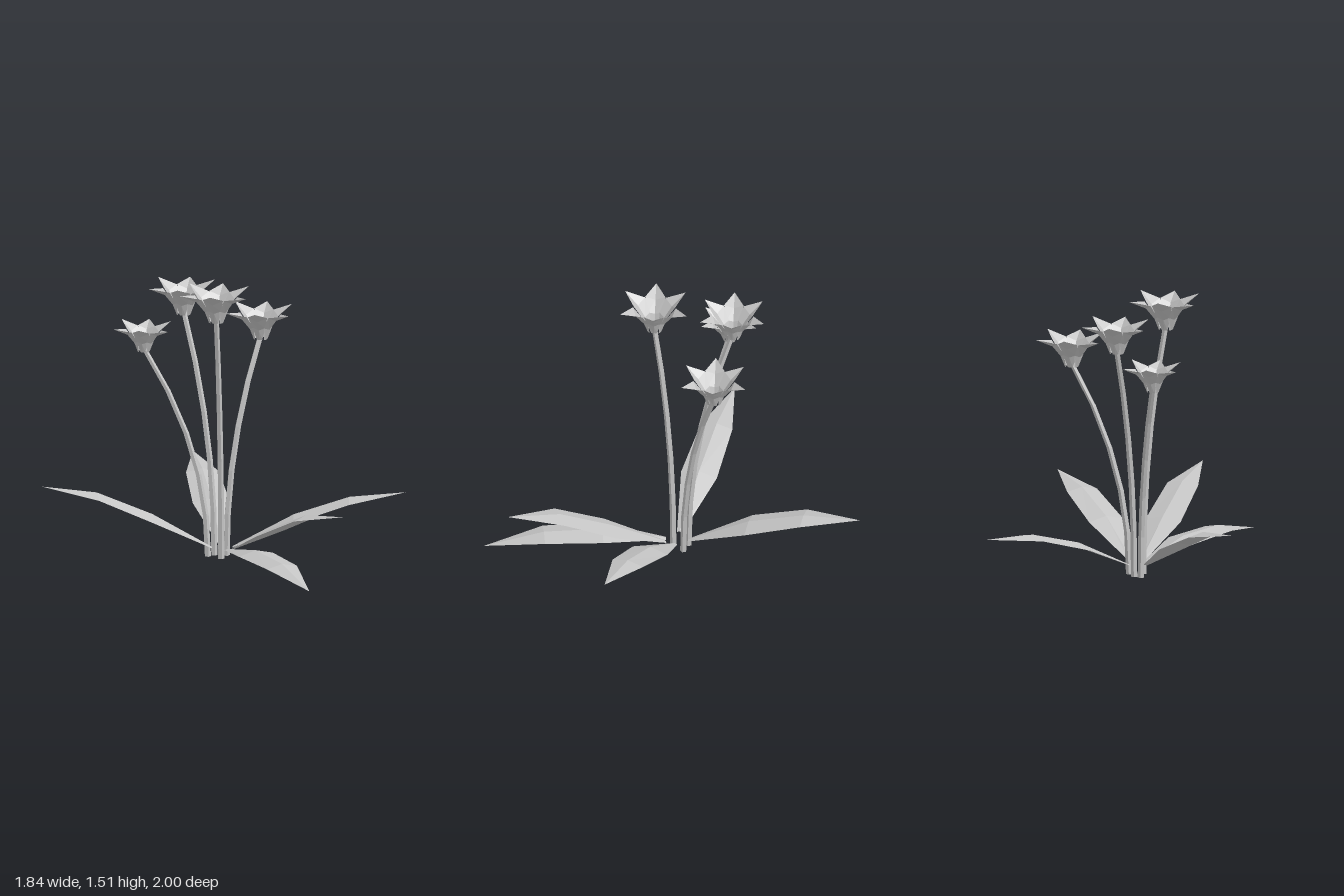
import * as THREE from 'three';

const grey = new THREE.MeshStandardMaterial({ color: 0xc4c4c4, flatShading: true, side: THREE.DoubleSide });
grey.name = 'plain grey';

// Folded blade: spine points, half widths, sideways direction and the offset of both edges.
function blade(spine, widths, side, lifts) {
  const pos = [], index = [];
  spine.forEach((p, i) => {
    for (const s of [-1, 0, 1]) {
      const v = p.clone().addScaledVector(side, s * widths[i]);
      if (s) v.add(lifts[i]);
      pos.push(v.x, v.y, v.z);
    }
    if (i === 0) return;
    for (let k = 0; k < 2; k++) {
      const a = (i - 1) * 3 + k, b = a + 3;
      index.push(a, a + 1, b, a + 1, b + 1, b);
    }
  });
  const g = new THREE.BufferGeometry();
  g.setAttribute('position', new THREE.Float32BufferAttribute(pos, 3));
  g.setIndex(index);
  g.computeVertexNormals();
  return g;
}

function add(parent, geometry, name) {
  const mesh = new THREE.Mesh(geometry, grey);
  mesh.name = name;
  parent.add(mesh);
  return mesh;
}

// One petal growing along +x, for a flower of reach 1.
function petalGeometry(inset, reach, tipHeight) {
  const v = (x, y) => new THREE.Vector3(x, y, 0);
  return blade(
    [v(0.2 - inset, 0), v(0.33 - inset, 0.32), v(0.57 - inset, 0.62), v(reach, tipHeight)],
    [0.08, 0.19, 0.28, 0],
    new THREE.Vector3(0, 0, -1),
    [v(-0.01, 0.01), v(-0.04, 0.07), v(-0.05, 0.13), v(0, 0)]
  );
}

// Stem that bends away from its foot, more strongly towards the top.
function stemGeometry(foot, top) {
  const g = new THREE.CylinderGeometry(0.015, 0.018, 1, 5, 5);
  const p = g.attributes.position;
  for (let i = 0; i < p.count; i++) {
    const f = p.getY(i) + 0.5, bend = Math.pow(f, 2.1);
    p.setXYZ(i,
      p.getX(i) + foot[0] + (top[0] - foot[0]) * bend,
      top[1] * f,
      p.getZ(i) + foot[1] + (top[2] - foot[1]) * bend);
  }
  g.computeVertexNormals();
  return g;
}

export function createModel() {
  const model = new THREE.Group();
  model.name = 'floweringPlant';

  // Stems with their flowers: foot (x, z), flower base (x, y, z), petal reach
  const flowers = [
    { foot: [-0.06, -0.07], top: [-0.345, 1.095, -0.28], size: 0.16 },
    { foot: [-0.02, -0.08], top: [-0.11, 1.27, -0.31], size: 0.185 },
    { foot: [0.04, -0.055], top: [0.295, 1.12, -0.23], size: 0.185 },
    { foot: [-0.01, 0], top: [-0.075, 1.325, 0.105], size: 0.193 },
  ];
  // Three upright inner petals alternate with three wider, lower outer ones.
  const petals = [petalGeometry(0.03, 0.96, 0.95), petalGeometry(0, 1.06, 0.84)];
  for (const { foot, top, size } of flowers) {
    add(model, stemGeometry(foot, [top[0], top[1] + 0.02, top[2]]), 'stem');
    const flower = new THREE.Group();
    flower.name = 'flower';
    flower.position.set(...top);
    flower.scale.setScalar(size);
    for (let i = 0; i < 6; i++) {
      add(flower, petals[i % 2], i % 2 ? 'outerPetal' : 'innerPetal').rotation.y = i * Math.PI / 3;
    }
    model.add(flower);
  }

  // Leaves: base, tip and the heights of the midrib at the two middle sections
  const leaves = [
    { base: [-0.05, 0.06, -0.03], tip: [-0.92, 0.405, -0.28], mid: [0.245, 0.365] },
    { base: [0.02, 0.06, -0.08], tip: [0.19, 0.325, -1], mid: [0.225, 0.31] },
    { base: [0.06, 0.06, -0.01], tip: [0.92, 0.36, 0.32], mid: [0.235, 0.33] },
    { base: [0.04, 0.06, 0.04], tip: [0.37, 0.405, 0.86], mid: [0.23, 0.36] },
    { base: [0.01, 0.06, 0.04], tip: [0.13, 0.055, 1], mid: [0.133, 0.13] },
  ];
  const drops = [0.005, 0.025, 0.02, 0].map(y => new THREE.Vector3(0, -y, 0));
  for (const { base, tip, mid } of leaves) {
    const a = new THREE.Vector3(...base), b = new THREE.Vector3(...tip);
    const spine = [0, 0.35, 0.67, 1].map(t => a.clone().lerp(b, t));
    spine[1].y = mid[0];
    spine[2].y = mid[1];
    const side = new THREE.Vector3(b.z - a.z, 0, a.x - b.x).normalize();
    add(model, blade(spine, [0.015, 0.1, 0.088, 0], side, drops), 'leaf');
  }
  return model;
}
